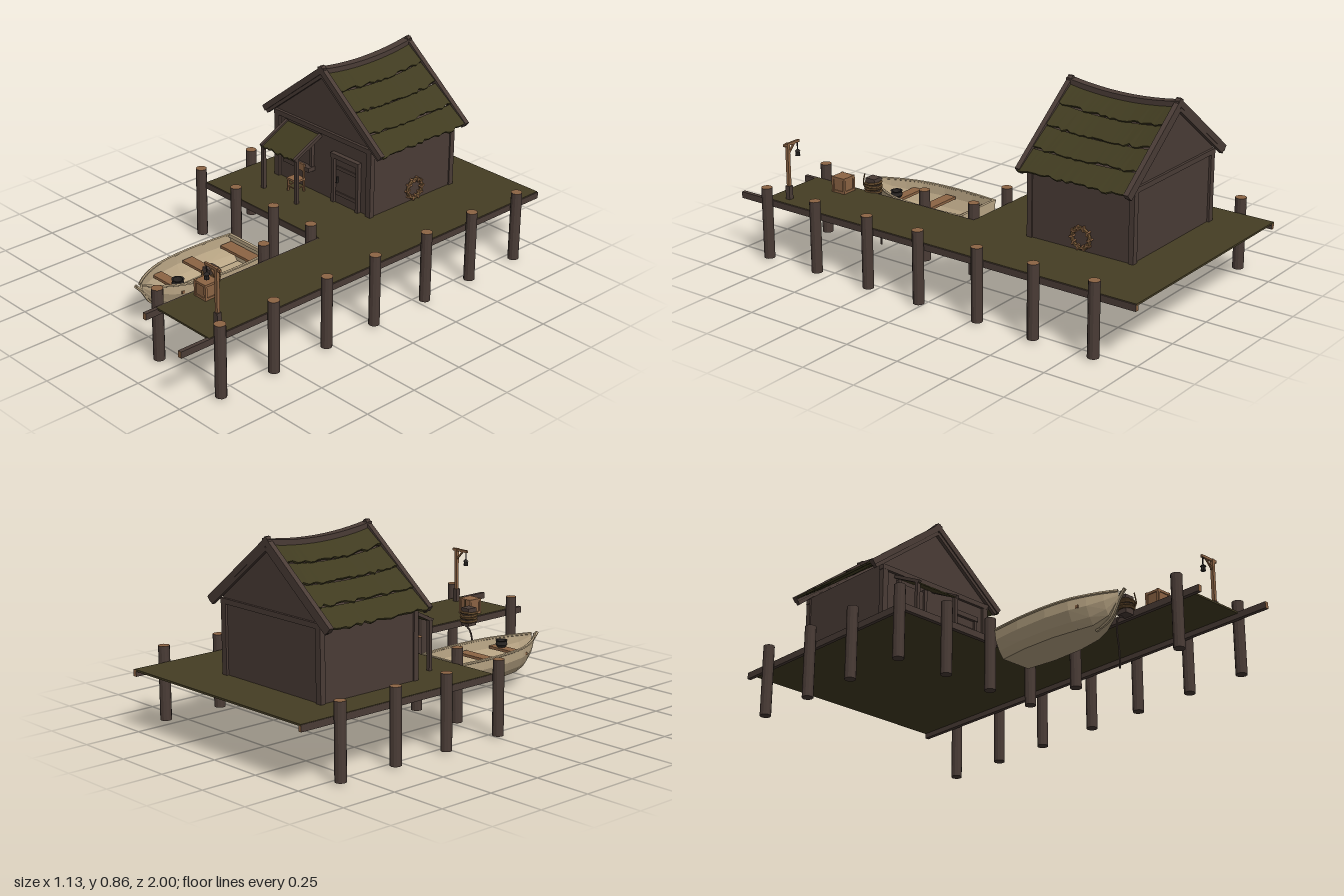
import * as THREE from 'three';

const mat = (name, color, side = THREE.FrontSide) => {
  const m = new THREE.MeshStandardMaterial({ color, side, flatShading: true });
  m.name = name;
  return m;
};

export function createModel() {
  const root = new THREE.Group();
  root.name = 'fishingDock';
  const dark = mat('darkWood', 0x4a3c36);
  const green = mat('mossyPlanks', 0x453d24);
  const thatch = mat('mossyRoof', 0x403b20);
  const light = mat('cutWood', 0x8c6444);
  const rope = mat('rope', 0x6e5232);
  const iron = mat('iron', 0x2a2624);
  const hull = mat('paleBoatWood', 0xbba786, THREE.DoubleSide);
  const V = (x, y, z) => new THREE.Vector3(x, y, z);

  const group = (name, parent = root) => {
    const g = new THREE.Group();
    g.name = name;
    parent.add(g);
    return g;
  };
  const add = (parent, name, geo, m, x = 0, y = 0, z = 0) => {
    const mesh = new THREE.Mesh(geo, m);
    mesh.name = name;
    mesh.position.set(x, y, z);
    parent.add(mesh);
    return mesh;
  };
  // Box given by its limits on each axis
  const box = (parent, name, m, x0, x1, y0, y1, z0, z1) => add(parent, name,
    new THREE.BoxGeometry(x1 - x0, y1 - y0, z1 - z0), m, (x0 + x1) / 2, (y0 + y1) / 2, (z0 + z1) / 2);
  // Square bar between two points
  const bar = (parent, name, m, a, b, w, d = w) => {
    const mesh = add(parent, name, new THREE.BoxGeometry(w, d, a.distanceTo(b)), m);
    mesh.position.copy(a).lerp(b, 0.5);
    mesh.lookAt(b);
    return mesh;
  };
  const tube = (parent, name, m, pts, r, n = 16) => add(parent, name,
    new THREE.TubeGeometry(new THREE.CatmullRomCurve3(pts), n, r, 6), m);
  const jag = i => { const s = Math.sin(i * 12.99) * 43758.5; return s - Math.floor(s); };

  // Deck: thin L-shaped planking over edge beams with pale cut ends
  const dock = group('dock');
  const L = new THREE.Shape([[-0.52, 1], [-0.52, 0], [0.2, 0], [0.2, -0.86], [0.515, -0.86], [0.515, 1]]
    .map(p => new THREE.Vector2(...p)));
  const deckGeo = new THREE.ExtrudeGeometry(L, { depth: 0.008, bevelEnabled: false });
  deckGeo.rotateX(-Math.PI / 2);
  add(dock, 'deck', deckGeo, green, 0, 0.255, 0);
  const ends = [dark, dark, dark, dark, light, light];
  box(dock, 'rightBeam', ends, 0.502, 0.52, 0.233, 0.261, -1, 1);
  box(dock, 'leftBeam', ends, -0.522, -0.506, 0.233, 0.261, -1, 0);
  box(dock, 'walkwayBeam', ends, 0.192, 0.21, 0.233, 0.261, 0, 0.92);
  box(dock, 'frontBeam', dark, -0.52, 0.2, 0.233, 0.261, -0.016, 0.003);

  // Piles with pale tops
  const pileGeo = new THREE.CylinderGeometry(0.024, 0.024, 0.316, 12);
  const piles = [-0.83, -0.55, -0.28, 0.01].map(z => [-0.543, z])
    .concat([-0.83, -0.55, -0.28, 0.015, 0.28, 0.56, 0.83].map(z => [0.543, z]))
    .concat([[-0.3, 0.02], [-0.06, 0.02], [0.17, 0.02], [0.17, 0.28], [0.17, 0.83]]);
  for (const [x, z] of piles) add(dock, 'pile', pileGeo, [dark, light, dark], x, 0.168, z);

  // Mooring block with coiled rope trailing into the water
  const mooring = group('mooring');
  box(mooring, 'mooringBlock', dark, 0.147, 0.194, 0.24, 0.32, 0.535, 0.583);
  for (let i = 0; i < 4; i++) {
    const ring = add(mooring, 'ropeCoil', new THREE.TorusGeometry(0.034, 0.006, 6, 16), rope, 0.171, 0.262 + i * 0.012, 0.56);
    ring.rotation.x = Math.PI / 2 + (i % 2 ? 0.08 : -0.08);
  }
  tube(mooring, 'hangingRope', dark, [V(0.19, 0.25, 0.54), V(0.145, 0.225, 0.54), V(0.132, 0.17, 0.545), V(0.137, 0.08, 0.55), V(0.138, 0.003, 0.55)], 0.004);
  tube(mooring, 'ropeLoop', rope, [V(0.2, 0.27, 0.575), V(0.212, 0.3, 0.58), V(0.208, 0.345, 0.575)], 0.003, 8);

  // Hut walls: one gabled block
  const hut = group('hut');
  const cx = -0.087;
  const gable = new THREE.Shape([[-0.38, 0.26], [0.206, 0.26], [0.206, 0.585], [cx, 0.82], [-0.38, 0.585]]
    .map(p => new THREE.Vector2(...p)));
  add(hut, 'walls', new THREE.ExtrudeGeometry(gable, { depth: 0.486, bevelEnabled: false }), dark, 0, 0, -0.778);
  for (const z of [-0.292, -0.776]) {
    for (const x of [-0.372, 0.198]) box(hut, 'cornerPost', dark, x - 0.014, x + 0.014, 0.262, 0.575, z - 0.012, z + 0.012);
    box(hut, 'gableBeam', dark, -0.388, 0.214, 0.555, 0.577, z - 0.013, z + 0.013);
  }

  // Sagging roof: overlapping rows with ragged lower edges
  const roof = group('roof', hut);
  const rows = 4;
  for (const s of [-1, 1]) {
    for (let r = 0; r < rows; r++) {
      const geo = new THREE.BoxGeometry(1, 1, 1, 24, 1, 1);
      const p = geo.attributes.position;
      for (let i = 0; i < p.count; i++) {
        const t = p.getX(i), low = p.getZ(i) > 0;
        const u = low ? (r + 1) / rows + 0.035 * (jag(Math.round(t * 24) + r * 31 + s * 7) - 0.6) : r / rows;
        const n = (low ? 0.008 : 0) + p.getY(i) * 0.01;
        const sag = 0.026 * (1 - 4 * t * t) * (1 - u);
        p.setXYZ(i, cx + s * (u * 0.36 + n * 0.6), 0.842 - u * 0.284 - sag + n * 0.78, -0.535 - s * t * 0.5);
      }
      geo.computeVertexNormals();
      add(roof, 'roofRow', geo, thatch);
    }
    for (const z of [-0.281, -0.79]) {
      bar(roof, 'bargeBoard', dark, V(cx - s * 0.012, 0.857, z), V(cx + s * 0.36, 0.562, z), 0.022, 0.026);
      bar(roof, 'innerRafter', dark, V(cx, 0.822, z - 0.002), V(cx + s * 0.345, 0.55, z - 0.002), 0.016, 0.016);
    }
  }
  const ridge = new THREE.BoxGeometry(0.036, 0.022, 0.53, 1, 1, 12);
  const rp = ridge.attributes.position;
  for (let i = 0; i < rp.count; i++) rp.setY(i, rp.getY(i) - 0.024 * (1 - (rp.getZ(i) / 0.265) ** 2));
  ridge.computeVertexNormals();
  add(roof, 'ridgePole', ridge, dark, cx, 0.848, -0.535);

  // Door
  const door = group('door', hut);
  const zf = -0.292;
  box(door, 'doorLeaf', dark, 0, 0.128, 0.262, 0.475, zf, zf + 0.008);
  for (const x of [-0.012, 0.136]) box(door, 'doorJamb', dark, x - 0.008, x + 0.008, 0.262, 0.475, zf, zf + 0.018);
  box(door, 'doorLintel', dark, -0.022, 0.146, 0.473, 0.494, zf, zf + 0.022);
  for (const y of [0.31, 0.43]) box(door, 'doorBatten', dark, 0.005, 0.123, y - 0.008, y + 0.008, zf, zf + 0.013);
  box(door, 'doorHandle', iron, 0.01, 0.016, 0.36, 0.388, zf, zf + 0.018);

  // Serving window, counter and pot
  const stall = group('stall', hut);
  for (const x of [-0.296, -0.152]) box(stall, 'windowSide', dark, x - 0.008, x + 0.008, 0.38, 0.53, zf, zf + 0.016);
  box(stall, 'windowOpening', dark, -0.29, -0.158, 0.38, 0.52, zf, zf + 0.008);
  box(stall, 'counter', dark, -0.3, -0.14, 0.36, 0.38, zf, -0.255);
  add(stall, 'counterPot', new THREE.CylinderGeometry(0.013, 0.01, 0.022, 10), iron, -0.25, 0.391, -0.268);
  tube(stall, 'potHandle', iron, [V(-0.263, 0.4, -0.268), V(-0.25, 0.412, -0.268), V(-0.237, 0.4, -0.268)], 0.002, 8);

  // Awning on two poles
  const cloth = new THREE.BoxGeometry(0.21, 0.006, 1, 18, 1, 1);
  const cp = cloth.attributes.position;
  for (let i = 0; i < cp.count; i++) {
    const v = cp.getZ(i) > 0 ? 1 - 0.07 * jag(Math.round(cp.getX(i) * 90)) : 0;
    cp.setXYZ(i, cp.getX(i), cp.getY(i) + 0.54 - v * 0.079, -0.285 + v * 0.152);
  }
  cloth.computeVertexNormals();
  add(stall, 'awning', cloth, thatch, -0.206, 0, 0);
  for (const x of [-0.311, -0.101]) {
    bar(stall, 'awningRail', dark, V(x, 0.543, -0.288), V(x, 0.468, -0.135), 0.014);
    box(stall, 'awningPole', dark, x - 0.008, x + 0.008, 0.262, 0.47, -0.157, -0.141);
  }

  // Chair
  const chair = group('chair');
  box(chair, 'chairSeat', light, -0.225, -0.165, 0.316, 0.325, -0.26, -0.205);
  for (const x of [-0.221, -0.169]) {
    box(chair, 'frontLeg', light, x - 0.004, x + 0.004, 0.262, 0.318, -0.214, -0.206);
    box(chair, 'backLeg', light, x - 0.004, x + 0.004, 0.262, 0.385, -0.259, -0.251);
    box(chair, 'sideRung', light, x - 0.002, x + 0.002, 0.285, 0.29, -0.255, -0.21);
  }
  box(chair, 'chairBack', light, -0.225, -0.165, 0.358, 0.391, -0.26, -0.251);
  box(chair, 'frontRung', light, -0.221, -0.169, 0.282, 0.287, -0.212, -0.208);

  // Rope wreath on the side wall
  const wreath = group('ropeWreath');
  wreath.position.set(0.216, 0.32, -0.545);
  wreath.rotation.y = Math.PI / 2;
  add(wreath, 'ropeRing', new THREE.TorusGeometry(0.042, 0.008, 6, 20), rope);
  for (let i = 0; i < 10; i++) {
    const a = i * Math.PI / 5;
    const knot = add(wreath, 'ropeWrap', new THREE.BoxGeometry(0.022, 0.007, 0.018), light, 0.042 * Math.cos(a), 0.042 * Math.sin(a), 0);
    knot.rotation.z = a + 0.4;
  }

  // Crate with raised frame
  const crate = group('crate');
  box(crate, 'crateBody', light, 0.227, 0.287, 0.263, 0.33, 0.625, 0.685);
  for (const x of [0.227, 0.287]) for (const z of [0.625, 0.685])
    box(crate, 'crateCorner', light, x - 0.005, x + 0.005, 0.263, 0.333, z - 0.005, z + 0.005);
  for (const y of [0.268, 0.327]) box(crate, 'crateBand', light, 0.223, 0.291, y - 0.005, y + 0.005, 0.621, 0.689);

  // Lamp post with hanging lantern
  const lamp = group('lampPost');
  box(lamp, 'lampBase', dark, 0.454, 0.476, 0.262, 0.322, 0.764, 0.786);
  box(lamp, 'lampPole', light, 0.458, 0.472, 0.32, 0.512, 0.768, 0.782);
  box(lamp, 'lampArm', light, 0.397, 0.487, 0.5, 0.511, 0.77, 0.78);
  bar(lamp, 'lampBrace', light, V(0.425, 0.502, 0.775), V(0.463, 0.462, 0.775), 0.007);
  box(lamp, 'lampChain', iron, 0.403, 0.407, 0.465, 0.502, 0.773, 0.777);
  add(lamp, 'lanternCap', new THREE.ConeGeometry(0.013, 0.012, 8), iron, 0.405, 0.466, 0.775);
  add(lamp, 'lantern', new THREE.CylinderGeometry(0.008, 0.011, 0.02, 8), iron, 0.405, 0.45, 0.775);

  // Rowing boat: stations of z, top half width, bottom half width, bottom y, top y
  const boat = group('boat');
  boat.position.x = -0.056;
  const st = [[0.165, 0.116, 0.07, 0.083, 0.197], [0.3, 0.127, 0.085, 0.082, 0.197], [0.45, 0.125, 0.082, 0.082, 0.198],
    [0.56, 0.108, 0.064, 0.083, 0.2], [0.63, 0.08, 0.04, 0.09, 0.203], [0.69, 0.045, 0.018, 0.118, 0.207], [0.735, 0.008, 0.004, 0.185, 0.212]];
  const section = ([z, wt, wb, yb, yt]) => {
    const half = [[wt, yt], [wt * 0.94 + wb * 0.06, yt * 0.62 + yb * 0.38], [wb + (wt - wb) * 0.5, yb + (yt - yb) * 0.25], [wb, yb]];
    return [...half, ...half.slice().reverse().map(([x, y]) => [-x, y])].map(([x, y]) => [x, y, z]);
  };
  const rings = st.map(section), n = 8, idx = [];
  for (let i = 0; i < rings.length - 1; i++) for (let j = 0; j < n - 1; j++) {
    const a = i * n + j, b = a + n;
    idx.push(a, a + 1, b, a + 1, b + 1, b);
  }
  for (let j = 1; j < n - 1; j++) idx.push(0, j + 1, j);
  const hullGeo = new THREE.BufferGeometry();
  hullGeo.setAttribute('position', new THREE.Float32BufferAttribute(rings.flat(2), 3));
  hullGeo.setIndex(idx);
  hullGeo.computeVertexNormals();
  add(boat, 'hull', hullGeo, hull);
  for (const s of [-1, 1]) tube(boat, 'gunwale', hull, st.map(q => V(s * q[1], q[4], q[0])), 0.006, 20);
  box(boat, 'transomRail', hull, -0.116, 0.116, 0.187, 0.203, 0.163, 0.175);
  tube(boat, 'stem', hull, [V(0, 0.086, 0.61), V(0, 0.115, 0.685), V(0, 0.18, 0.73), V(0, 0.215, 0.762)], 0.008);
  for (const x of [-0.045, 0, 0.045]) box(boat, 'floorPlank', hull, x - 0.018, x + 0.018, 0.085, 0.093, 0.17, 0.57);
  for (const [z, w, d] of [[0.2, 0.105, 0.03], [0.405, 0.11, 0.026], [0.578, 0.095, 0.023]])
    box(boat, 'thwart', light, -w, w, 0.158, 0.17, z - d, z + d);
  const pot = [[0, 0], [0.018, 0], [0.026, 0.012], [0.023, 0.027], [0.027, 0.031], [0.02, 0.031], [0.018, 0.01], [0, 0.008]];
  add(boat, 'kettle', new THREE.LatheGeometry(pot.map(p => new THREE.Vector2(...p)), 14), iron, 0.046, 0.17, 0.583);

  return root;
}
